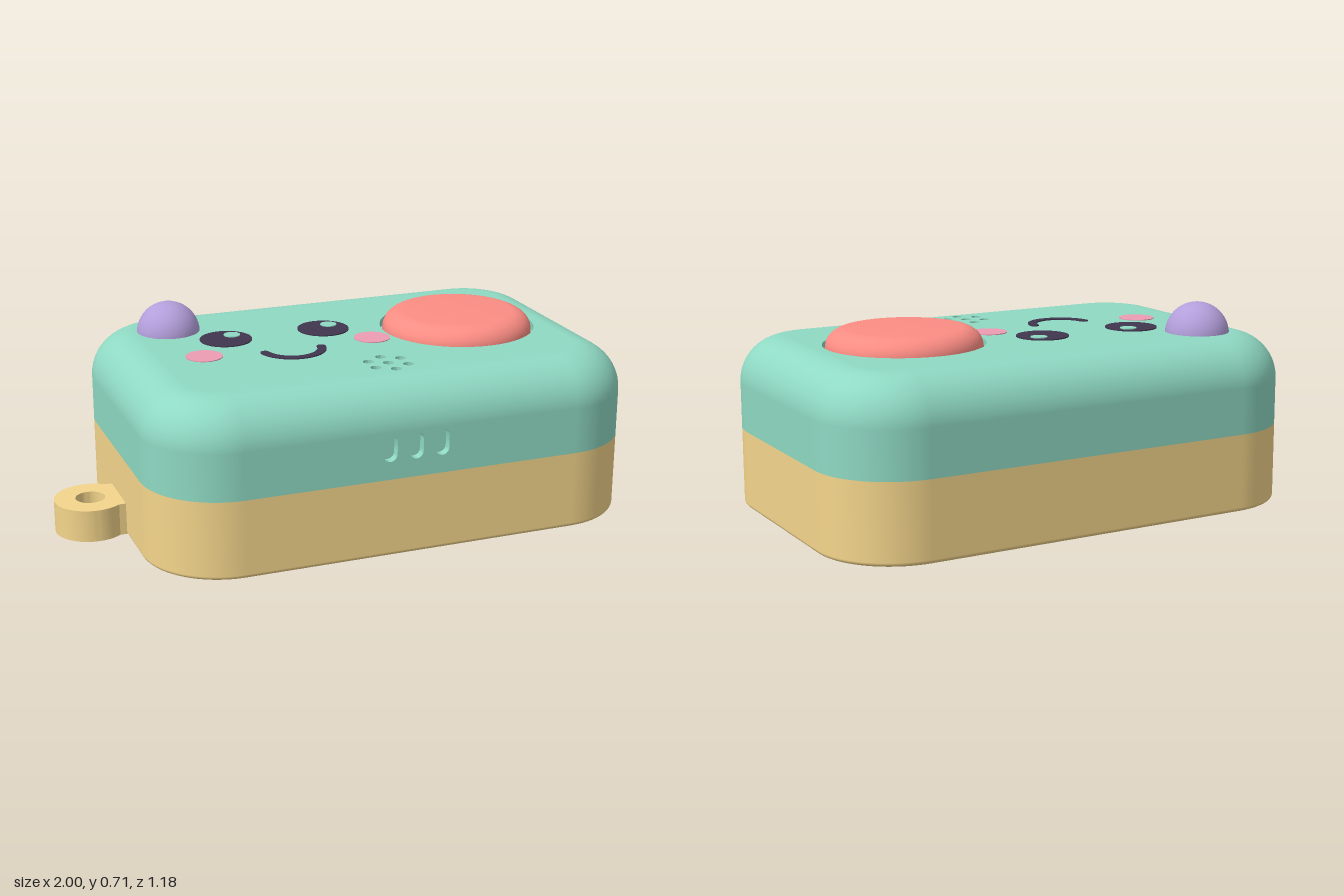
import * as THREE from 'three';
import { toCreasedNormals, mergeGeometries } from 'three/addons/utils/BufferGeometryUtils.js';

const CX = 0.115, HX = 0.885, HZ = 0.59, R = 0.28; // body centre, half sizes, plan corner radius
const TOP = 0.605, FILLET = 0.16, SEAM = 0.28, BEVEL = 0.015;
const SEG = 24, CORNER = 48;

const mat = (color) => new THREE.MeshStandardMaterial({ color });
const teal = mat(0x8fd9c3), yellow = mat(0xf4d58b), coral = mat(0xfc8d84);
const purple = mat(0xb39fdb), dark = mat(0x40364f), pink = mat(0xee9cb4);

function add(parent, name, geometry, material, x = 0, y = 0, z = 0) {
  const mesh = new THREE.Mesh(geometry, material);
  mesh.name = name;
  mesh.position.set(x, y, z);
  parent.add(mesh);
  return mesh;
}

// Rounded rectangle outline, counter-clockwise
function roundRect(cx, cy, hw, hh, r) {
  const s = new THREE.Shape();
  [[1, 1], [-1, 1], [-1, -1], [1, -1]].forEach(([sx, sy], k) =>
    s.absarc(cx + sx * (hw - r), cy + sy * (hh - r), r, k * Math.PI / 2, (k + 1) * Math.PI / 2, false));
  s.closePath();
  return s;
}

function circle(x, y, r) {
  const s = new THREE.Shape();
  s.absarc(x, y, r, 0, Math.PI * 2, false);
  return s;
}

// Flat face with holes, facing +z
function panel(shape, holes = []) {
  shape.holes = holes;
  return new THREE.ShapeGeometry(shape, SEG);
}

// Inward-facing wall going back from an outline
function recessWall(shape, depth) {
  const pts = shape.getPoints(SEG), pos = [];
  pts.forEach((a, i) => {
    const b = pts[(i + 1) % pts.length];
    if (a.distanceTo(b) < 1e-6) return;
    pos.push(a.x, a.y, 0, b.x, b.y, 0, b.x, b.y, -depth, a.x, a.y, 0, b.x, b.y, -depth, a.x, a.y, -depth);
  });
  const g = new THREE.BufferGeometry();
  g.setAttribute('position', new THREE.Float32BufferAttribute(pos, 3));
  return toCreasedNormals(g, 0.6);
}

const floor = (shape, depth) => panel(shape.clone()).translate(0, 0, -depth);

// Rounded shell lofted through rows of [inset, y, normal tilt]
function shell(rows, openFront = -1) {
  const pos = [], nor = [], idx = [], cols = 4 * (CORNER + 1);
  const signs = [[1, 1], [-1, 1], [-1, -1], [1, -1]];
  rows.forEach(([inset, y, tilt]) => signs.forEach(([sx, sz], k) => {
    for (let j = 0; j <= CORNER; j++) {
      const t = (k + j / CORNER) * Math.PI / 2, c = Math.cos(t), s = Math.sin(t);
      pos.push(CX + sx * (HX - R) + (R - inset) * c, y, sz * (HZ - R) + (R - inset) * s);
      nor.push(c * Math.cos(tilt), Math.sin(tilt), s * Math.cos(tilt));
    }
  }));
  for (let i = 0; i < rows.length - 1; i++) {
    for (let j = 0; j < cols; j++) {
      if (i === openFront && j === CORNER) continue; // the slotted front panel goes here
      const a = i * cols + j, b = i * cols + (j + 1) % cols;
      idx.push(a, a + cols, b, b, a + cols, b + cols);
    }
  }
  const g = new THREE.BufferGeometry();
  g.setAttribute('position', new THREE.Float32BufferAttribute(pos, 3));
  g.setAttribute('normal', new THREE.Float32BufferAttribute(nor, 3));
  g.setIndex(idx);
  return g;
}

// Rows of a quarter-round edge between two tilts
function roundEdge(r, y, from, to, n) {
  return Array.from({ length: n + 1 }, (_, i) => {
    const t = from + (to - from) * i / n;
    return [r - r * Math.cos(t), y + r * Math.sin(t), t];
  });
}

export function createModel() {
  const model = new THREE.Group();
  const Q = Math.PI / 2;

  // Upper shell with filleted top edge
  const upper = new THREE.Group();
  upper.name = 'upperShell';
  model.add(upper);
  add(upper, 'upperWall', shell([[0, SEAM, 0], ...roundEdge(FILLET, TOP - FILLET, 0, Q, 12)], 0), teal);

  // Front panel with three vent slots
  const slots = [-0.095, 0, 0.095].map((dx) => roundRect(CX + dx, 0.39, 0.025, 0.046, 0.0249));
  const front = new THREE.Shape([[-1, SEAM], [1, SEAM], [1, TOP - FILLET], [-1, TOP - FILLET]]
    .map(([s, y]) => new THREE.Vector2(CX + s * (HX - R), y)));
  add(upper, 'frontPanel', panel(front, slots), teal, 0, 0, HZ);
  slots.forEach((s) => {
    add(upper, 'ventWall', recessWall(s, 0.03), teal, 0, 0, HZ);
    add(upper, 'ventFloor', floor(s, 0.03), teal, 0, 0, HZ);
  });

  // Top face with button well and speaker holes (shape y is -z)
  const well = circle(0.53, 0, 0.284);
  const speaker = [circle(CX, -0.337, 0.019)];
  for (let i = 0; i < 6; i++) {
    const a = Q + i * Math.PI / 3;
    speaker.push(circle(CX + 0.07 * Math.cos(a), -0.337 + 0.07 * Math.sin(a), 0.019));
  }
  const topShape = roundRect(CX, 0, HX - FILLET, HZ - FILLET, R - FILLET);
  const lay = (g) => g.rotateX(-Q);
  add(upper, 'topFace', lay(panel(topShape, [well, ...speaker])), teal, 0, TOP);
  add(upper, 'buttonWell', lay(mergeGeometries([recessWall(well, 0.03), floor(well, 0.03).toNonIndexed()]
    .map((g) => { g.deleteAttribute('uv'); return g; }))), teal, 0, TOP);
  speaker.forEach((s) => {
    add(upper, 'speakerHoleWall', lay(recessWall(s, 0.025)), teal, 0, TOP);
    add(upper, 'speakerHoleFloor', lay(floor(s, 0.025)), purple, 0, TOP);
  });

  // Big push button
  const profile = [new THREE.Vector2(0.274, 0.576)];
  for (let i = 0; i <= 10; i++) {
    const t = Q * i / 10;
    profile.push(new THREE.Vector2(0.2 + 0.074 * Math.cos(t), 0.595 + 0.067 * Math.sin(t)));
  }
  profile.push(new THREE.Vector2(0, 0.662));
  add(model, 'pushButton', toCreasedNormals(new THREE.LatheGeometry(profile, 64), 0.5), coral, 0.53);

  // Indicator dome
  add(model, 'indicatorDome', new THREE.SphereGeometry(0.115, 40, 24), purple, -0.487, 0.597, -0.305);

  // Face: eyes, highlights, cheeks and smile
  const face = new THREE.Group();
  face.name = 'face';
  model.add(face);
  const disc = (name, x, z, r, h, m) =>
    add(face, name, new THREE.CylinderGeometry(r, r, h, 40), m, x, TOP + h / 2, z);
  [-0.326, 0.047].forEach((x) => {
    disc('eye', x, -0.118, 0.094, 0.004, dark);
    disc('eyeHighlight', x + 0.033, -0.15, 0.03, 0.007, teal);
  });
  [-0.457, 0.173].forEach((x) => disc('cheek', x, 0.047, 0.065, 0.003, pink));
  const smile = new THREE.Shape(), a0 = Math.PI + 0.12, a1 = 2 * Math.PI - 0.12, rm = 0.106, w = 0.016;
  smile.absarc(0, 0, rm + w, a0, a1, false);
  smile.absarc(rm * Math.cos(a1), rm * Math.sin(a1), w, a1, a1 + Math.PI, false);
  smile.absarc(0, 0, rm - w, a1, a0, true);
  smile.absarc(rm * Math.cos(a0), rm * Math.sin(a0), w, a0 + Math.PI * 3, a0 + Math.PI * 4, false);
  add(face, 'smile', lay(new THREE.ExtrudeGeometry(smile, { depth: 0.004, bevelEnabled: false, curveSegments: 16 })),
    dark, -0.142, TOP, 0.072);

  // Lower shell with small bottom bevel
  const lower = new THREE.Group();
  lower.name = 'lowerShell';
  model.add(lower);
  add(lower, 'lowerWall', shell([...roundEdge(BEVEL, BEVEL, -Q, 0, 5), [0, SEAM, 0]]), yellow);

  // Bottom rim, base plate and battery door with finger slot
  const under = (g) => g.rotateX(Q);
  const rim = roundRect(CX, 0, HX - BEVEL, HZ - BEVEL, R - BEVEL);
  const plate = roundRect(CX, 0, HX - 0.045, HZ - 0.045, R - 0.045);
  const opening = roundRect(CX, 0.22, 0.606, 0.304, 0.02);
  const door = roundRect(CX, 0.22, 0.6, 0.298, 0.016);
  const grip = roundRect(CX, 0.465, 0.15, 0.025, 0.008);
  const PLATE_Y = 0.008;
  add(lower, 'bottomRim', under(panel(rim, [plate])), yellow);
  add(lower, 'bottomRimStep', under(recessWall(plate, PLATE_Y)), yellow);
  add(lower, 'basePlate', under(panel(plate.clone(), [opening])), purple, 0, PLATE_Y);
  add(lower, 'doorGroove', under(recessWall(opening, 0.04)), purple, 0, PLATE_Y);
  add(lower, 'doorGrooveFloor', under(floor(opening, 0.04)), purple, 0, PLATE_Y);
  add(lower, 'batteryDoor', under(panel(door, [grip])), purple, 0, PLATE_Y);
  add(lower, 'fingerSlotWall', under(recessWall(grip, 0.03)), purple, 0, PLATE_Y);
  add(lower, 'fingerSlotFloor', under(floor(grip, 0.03)), purple, 0, PLATE_Y);

  // Strap loop on the side
  const loop = new THREE.Shape();
  loop.moveTo(0.125, -0.1);
  loop.lineTo(0.125, 0.1);
  loop.lineTo(0.08, 0.1);
  loop.absarc(0, 0, 0.127, 0.9, 2 * Math.PI - 0.9, false);
  loop.closePath();
  loop.holes.push(circle(0, 0, 0.052));
  const loopGeo = new THREE.ExtrudeGeometry(loop, { depth: 0.115, bevelEnabled: false, curveSegments: SEG });
  add(model, 'strapLoop', toCreasedNormals(lay(loopGeo), 0.5), yellow, -0.873, 0.004);

  return model;
}
